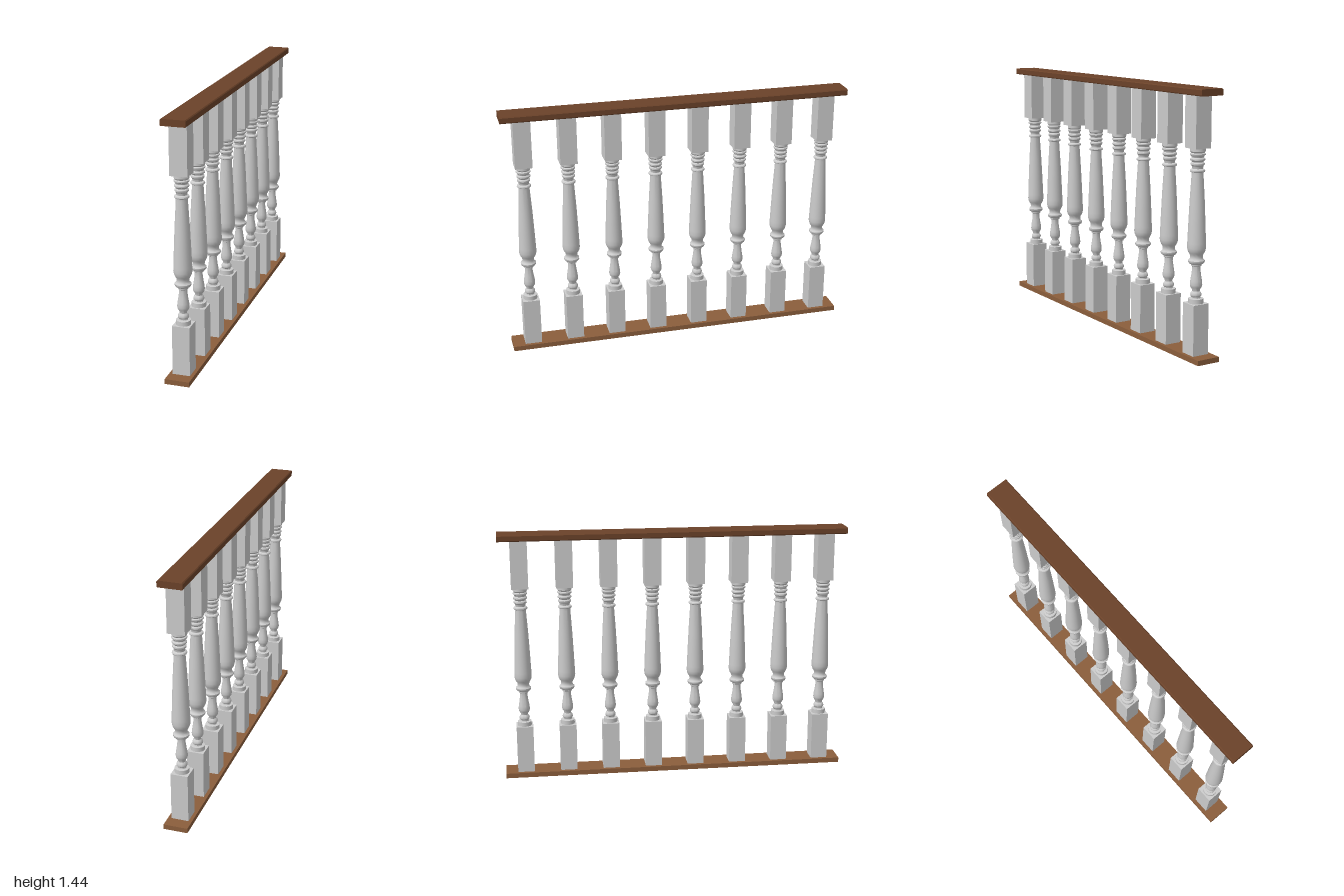
import * as THREE from 'three';
import { toCreasedNormals } from 'three/addons/utils/BufferGeometryUtils.js';

const COUNT = 8, SPACING = 0.2517, BLOCK = 0.097;
const grey = new THREE.MeshStandardMaterial({ color: 0xcccccc });
const darkWood = new THREE.MeshStandardMaterial({ color: 0x6b4229 });
const lightWood = new THREE.MeshStandardMaterial({ color: 0x8b5e3c });

function mesh(name, geometry, material, y = 0) {
  const m = new THREE.Mesh(geometry, material);
  m.name = name;
  m.position.y = y;
  return m;
}

// Turned spindle profile: [radius, height], from the lower block to the upper block
const profile = [
  [0, 0.3], [0.04, 0.3], [0.04, 0.33], [0.024, 0.332], [0.023, 0.338],
  [0.029, 0.345], [0.03, 0.353], [0.027, 0.362], [0.02, 0.37], [0.021, 0.378],
  [0.03, 0.392], [0.033, 0.405], [0.031, 0.425], [0.026, 0.455], [0.022, 0.485],
  [0.022, 0.503], [0.028, 0.507], [0.029, 0.515], [0.04, 0.521], [0.044, 0.528],
  [0.044, 0.536], [0.036, 0.543], [0.033, 0.552], [0.035, 0.566], [0.042, 0.577],
  [0.047, 0.589], [0.05, 0.604], [0.049, 0.63], [0.045, 0.73], [0.039, 0.86],
  [0.031, 0.99], [0.031, 1.002], [0.038, 1.005], [0.04, 1.01], [0.038, 1.016],
  [0.028, 1.021], [0.03, 1.034], [0.037, 1.042], [0.037, 1.05], [0.03, 1.056],
  [0.033, 1.061], [0.039, 1.066], [0.039, 1.073], [0.032, 1.08], [0.034, 1.087],
  [0.041, 1.093], [0.041, 1.1], [0.035, 1.104], [0.041, 1.112], [0.041, 1.13], [0, 1.13],
].map(([r, y]) => new THREE.Vector2(r, y));

export function createModel() {
  const model = new THREE.Group();
  model.name = 'balustrade';

  // Base plate
  model.add(mesh('basePlate', new THREE.BoxGeometry(0.136, 0.028, 2), lightWood, 0.014));

  // Handrail with eased edges
  const w = 0.068, c = 0.005, y0 = 1.404, y1 = 1.44;
  const section = new THREE.Shape([
    [-w + c / 2, y0], [w - c / 2, y0], [w, y0 + c], [w, y1 - c],
    [w - c, y1], [-w + c, y1], [-w, y1 - c], [-w, y0 + c],
  ].map(([x, y]) => new THREE.Vector2(x, y)));
  const railGeometry = new THREE.ExtrudeGeometry(section, { depth: 2, bevelEnabled: false });
  railGeometry.translate(0, 0, -1);
  model.add(mesh('handrail', railGeometry, darkWood));

  // Balusters: square blocks above and below a turned spindle
  const lower = new THREE.BoxGeometry(BLOCK, 0.277, BLOCK);
  const upper = new THREE.BoxGeometry(BLOCK, 0.278, BLOCK);
  const spindle = toCreasedNormals(new THREE.LatheGeometry(profile, 20), 0.6);
  for (let i = 0; i < COUNT; i++) {
    const baluster = new THREE.Group();
    baluster.name = `baluster${i + 1}`;
    baluster.position.z = (i - (COUNT - 1) / 2) * SPACING;
    baluster.add(
      mesh('lowerBlock', lower, grey, 0.1665),
      mesh('turnedSpindle', spindle, grey),
      mesh('upperBlock', upper, grey, 1.267),
    );
    model.add(baluster);
  }
  return model;
}
